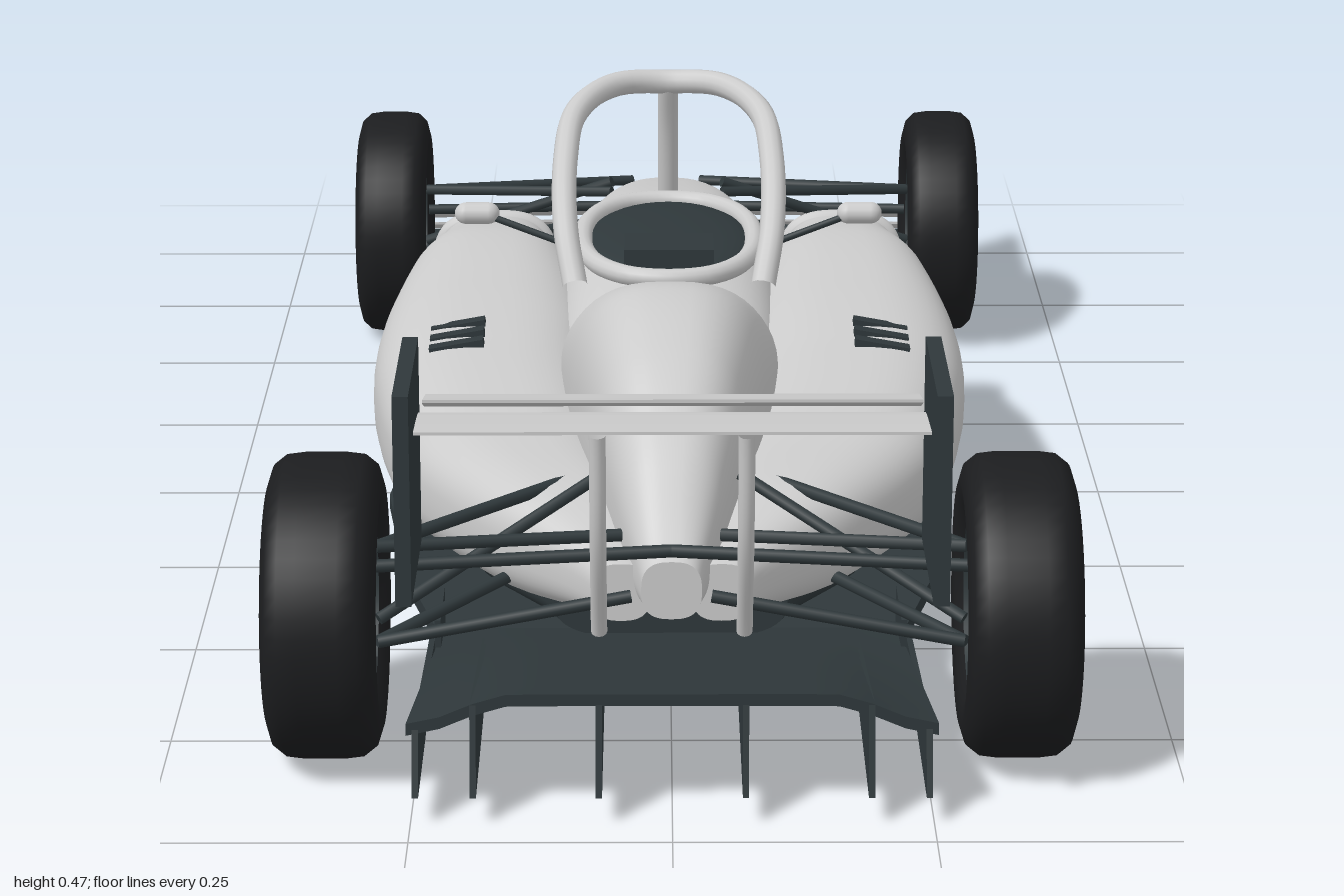
import * as THREE from 'three';

const mat = (color, side = THREE.FrontSide) => new THREE.MeshStandardMaterial({ color, side });
const grey = mat(0xcccccc);
const greyThin = mat(0xcccccc, THREE.DoubleSide);
const carbon = mat(0x2f383b, THREE.DoubleSide);
const rubber = mat(0x1c1d1f);
const orange = mat(0xc8501e);
const V = (x, y, z) => new THREE.Vector3(x, y, z);

export function createModel() {
  const car = new THREE.Group();
  car.name = 'openWheelRacingCar';

  const add = (name, geo, material, x = 0, y = 0, z = 0, parent = car) => {
    const m = new THREE.Mesh(geo, material);
    m.name = name;
    m.position.set(x, y, z);
    parent.add(m);
    return m;
  };
  const box = (name, w, h, d, material, x, y, z, parent) =>
    add(name, new THREE.BoxGeometry(w, h, d), material, x, y, z, parent);
  const rod = (name, a, b, r, material = carbon) => {
    const m = add(name, new THREE.CylinderGeometry(r, r, a.distanceTo(b), 10), material);
    m.position.copy(a).lerp(b, 0.5);
    m.quaternion.setFromUnitVectors(V(0, 1, 0), b.clone().sub(a).normalize());
    return m;
  };
  const tube = (name, pts, r, material, closed = false) =>
    add(name, new THREE.TubeGeometry(new THREE.CatmullRomCurve3(pts, closed), 64, r, 12, closed), material);

  // Point on a rounded-rectangle-like cross-section
  const superPoint = (t, w, h, p) => {
    const c = Math.cos(t), s = Math.sin(t);
    return [w * Math.sign(c) * Math.abs(c) ** (2 / p), h * Math.sign(s) * Math.abs(s) ** (2 / p)];
  };

  // Smooth body through rows of [z, halfWidth, bottom, top, centreX]
  const loft = (name, rows, material, p = 2.6, side = 1) => {
    const N = 48, SUB = 8, pos = [], idx = [], rings = [];
    const at = i => rows[Math.max(0, Math.min(rows.length - 1, i))];
    for (let i = 0; i < rows.length - 1; i++) {
      for (let k = 0; k < SUB + (i === rows.length - 2 ? 1 : 0); k++) {
        const t = k / SUB;
        rings.push(rows[i].map((b, q) => {
          const a = at(i - 1)[q], c = at(i + 1)[q], d = at(i + 2)[q];
          if (q === 0) return b + (c - b) * t;
          return 0.5 * (2 * b + (c - a) * t + (2 * a - 5 * b + 4 * c - d) * t * t + (3 * b - a - 3 * c + d) * t ** 3);
        }));
      }
    }
    const pushRing = ([z, w, y0, y1, cx = 0]) => {
      for (let j = 0; j < N; j++) {
        const [x, y] = superPoint(j / N * Math.PI * 2, w, (y1 - y0) / 2, p);
        pos.push(cx * side + x, (y0 + y1) / 2 + y, z);
      }
    };
    rings.forEach((r, i) => {
      pushRing(r);
      if (!i) return;
      for (let j = 0; j < N; j++) {
        const a = (i - 1) * N + j, b = (i - 1) * N + (j + 1) % N;
        idx.push(a, b, a + N, b, b + N, a + N);
      }
    });
    [rings[0], rings[rings.length - 1]].forEach((r, e) => {
      const s = pos.length / 3;
      pushRing(r);
      pos.push((r[4] || 0) * side, (r[2] + r[3]) / 2, r[0]);
      for (let j = 0; j < N; j++) {
        const a = s + j, b = s + (j + 1) % N;
        e ? idx.push(s + N, a, b) : idx.push(s + N, b, a);
      }
    });
    const g = new THREE.BufferGeometry();
    g.setAttribute('position', new THREE.Float32BufferAttribute(pos, 3));
    g.setIndex(idx);
    g.computeVertexNormals();
    return add(name, g, material);
  };

  // Aerofoil spanning x; its leading edge is swept back by sweep * x²
  const wing = (name, span, chord, thick, rise, material, y, z, sweep = 0) => {
    const s = new THREE.Shape();
    s.moveTo(0, 0);
    s.bezierCurveTo(0, thick, chord * 0.5, thick + rise * 0.2, chord, rise + 0.003);
    s.lineTo(chord, rise);
    s.bezierCurveTo(chord * 0.5, rise * 0.1, 0, -thick * 0.6, 0, 0);
    const g = new THREE.ExtrudeGeometry(s, { depth: span, steps: 20, bevelEnabled: false, curveSegments: 10 });
    g.rotateY(-Math.PI / 2).translate(span / 2, 0, 0);
    const p = g.attributes.position;
    for (let i = 0; i < p.count; i++) p.setZ(i, p.getZ(i) + sweep * p.getX(i) ** 2);
    g.computeVertexNormals();
    return add(name, g, material, 0, y, z);
  };

  // Main body: nose and tub, then engine cover
  loft('noseAndTub', [
    [-0.945, 0.016, 0.085, 0.12], [-0.85, 0.032, 0.088, 0.148], [-0.7, 0.054, 0.1, 0.19], [-0.55, 0.075, 0.115, 0.23],
    [-0.4, 0.093, 0.125, 0.265], [-0.26, 0.105, 0.125, 0.292], [-0.1, 0.125, 0.09, 0.308], [0.06, 0.13, 0.08, 0.302],
    [0.2, 0.125, 0.08, 0.28], [0.45, 0.1, 0.09, 0.23], [0.65, 0.05, 0.12, 0.2]], grey, 2.8);
  loft('engineCover', [
    [0.165, 0.117, 0.1, 0.288], [0.25, 0.12, 0.1, 0.322], [0.35, 0.113, 0.1, 0.36], [0.45, 0.1, 0.1, 0.38],
    [0.58, 0.078, 0.11, 0.352], [0.68, 0.054, 0.12, 0.28], [0.765, 0.03, 0.135, 0.195]], grey, 2.7);

  // Cockpit opening, rim and headrest
  const opening = add('cockpitOpening', new THREE.SphereGeometry(1, 40, 16), carbon, 0, 0.299, -0.02);
  opening.scale.set(0.095, 0.018, 0.155);
  tube('cockpitRim', Array.from({ length: 16 }, (_, i) => {
    const [x, z] = superPoint(i / 8 * Math.PI, 0.098, 0.165, 2.3);
    return V(x, 0.304, z - 0.015);
  }), 0.011, grey, true);
  box('headrest', 0.1, 0.045, 0.07, carbon, 0, 0.307, 0.09);

  // Protective hoop over the cockpit
  const arc = [[0.105, 0.29, 0.13], [0.116, 0.345, 0.085], [0.117, 0.405, 0.01], [0.105, 0.44, -0.07], [0.06, 0.453, -0.145]];
  tube('cockpitHoop', [...arc.map(([x, y, z]) => V(-x, y, z)), V(0, 0.45, -0.17),
    ...arc.reverse().map(([x, y, z]) => V(x, y, z))], 0.014, grey);
  tube('hoopPillar', [V(0, 0.45, -0.17), V(0, 0.39, -0.195), V(0, 0.28, -0.225)], 0.012, grey);
  box('noseSensor', 0.006, 0.004, 0.045, carbon, 0, 0.168, -0.967);

  for (const s of [-1, 1]) {
    // Sidepods with framed inlets and cooling slats
    loft('sidepod', [
      [-0.24, 0.068, 0.14, 0.268, 0.207], [-0.1, 0.1, 0.1, 0.288, 0.205], [0.1, 0.124, 0.085, 0.278, 0.204],
      [0.25, 0.123, 0.085, 0.26, 0.198], [0.45, 0.112, 0.095, 0.235, 0.165], [0.6, 0.085, 0.1, 0.218, 0.105],
      [0.73, 0.03, 0.12, 0.18, 0.05]], grey, 2.7, s);
    const ring = Array.from({ length: 24 }, (_, i) => superPoint(i / 12 * Math.PI, 0.065, 0.06, 3));
    tube('inletFrame', ring.map(([x, y]) => V(s * 0.207 + x, 0.204 + y, -0.242)), 0.01, grey, true);
    add('inletOpening', new THREE.ShapeGeometry(new THREE.Shape(ring.map(([x, y]) => new THREE.Vector2(x, y)))),
      carbon, s * 0.207, 0.204, -0.2425);
    for (let i = 0; i < 3; i++) {
      box('coolingSlat', 0.06, 0.012, 0.017, carbon, s * 0.232, 0.262 - i * 0.003, 0.198 + i * 0.027).rotation.z = -s * 0.18;
    }
    // Mirror
    const mirror = add('mirror', new THREE.CapsuleGeometry(0.013, 0.026, 6, 12), grey, s * 0.222, 0.314, -0.085);
    mirror.rotation.z = Math.PI / 2;
    rod('mirrorStalk', V(s * 0.13, 0.285, -0.07), V(s * 0.21, 0.312, -0.083), 0.004);

    // Front and rear suspension arms
    const arms = [
      [0.31, 0.185, -0.66, 0.045, 0.165, -0.78], [0.31, 0.185, -0.66, 0.07, 0.215, -0.54],
      [0.31, 0.105, -0.66, 0.04, 0.12, -0.77], [0.31, 0.105, -0.66, 0.08, 0.14, -0.5],
      [0.31, 0.12, -0.65, 0.07, 0.22, -0.57], [0.31, 0.15, -0.69, 0.05, 0.15, -0.71],
      [0.29, 0.21, 0.76, 0.05, 0.2, 0.7], [0.29, 0.21, 0.76, 0.1, 0.215, 0.57],
      [0.29, 0.11, 0.76, 0.04, 0.15, 0.74], [0.29, 0.11, 0.76, 0.12, 0.13, 0.56],
      [0.29, 0.13, 0.75, 0.07, 0.24, 0.63], [0.3, 0.2, 0.79, 0, 0.205, 0.76]];
    for (const a of arms) rod('suspensionArm', V(s * a[0], a[1], a[2]), V(s * a[3], a[4], a[5]), 0.0065);

    // Rear wing end plates and pillars, front wing end plates
    box('rearEndPlate', 0.015, 0.205, 0.185, carbon, s * 0.25, 0.34, 0.9075);
    tube('rearWingPillar', [V(s * 0.071, 0.365, 0.88), V(s * 0.071, 0.25, 0.86), V(s * 0.071, 0.14, 0.81)], 0.008, grey);
    box('frontEndPlate', 0.014, 0.138, 0.185, carbon, s * 0.388, 0.096, -0.8925);
    // Small floor fins
    box('floorFin', 0.006, 0.035, 0.1, carbon, s * 0.255, 0.065, -0.3);
    box('rearFloorFin', 0.006, 0.04, 0.1, carbon, s * 0.237, 0.07, 0.6);

    wheel(s, 0.34, 0.765, 0.151, 0.112);
    wheel(s, 0.352, -0.663, 0.142, 0.09);
  }

  // Wings
  wing('rearMainPlane', 0.49, 0.11, 0.012, 0.018, greyThin, 0.364, 0.82);
  wing('rearFlap', 0.46, 0.08, 0.01, 0.022, greyThin, 0.412, 0.912);
  wing('frontMainPlane', 0.77, 0.12, 0.01, 0.02, carbon, 0.04, -0.995, 0.23);
  wing('frontFlap', 0.7, 0.075, 0.008, 0.022, greyThin, 0.07, -0.915, 0.18);
  wing('frontUpperFlap', 0.62, 0.06, 0.007, 0.022, greyThin, 0.098, -0.862, 0.15);

  // Floor, plank and diffuser
  const half = [[0.23, -0.43], [0.25, -0.22], [0.3, -0.02], [0.315, 0.15], [0.28, 0.42], [0.235, 0.6]];
  const outline = [...half, ...half.map(([x, z]) => [-x, z]).reverse()].map(([x, z]) => new THREE.Vector2(x, z));
  const floor = new THREE.ExtrudeGeometry(new THREE.Shape(outline), { depth: 0.016, bevelEnabled: false });
  add('floor', floor.rotateX(Math.PI / 2), carbon, 0, 0.05, 0);
  loft('underbody', [[-0.3, 0.075, 0.045, 0.14], [-0.12, 0.2, 0.045, 0.12], [0.2, 0.25, 0.045, 0.11],
    [0.45, 0.2, 0.045, 0.12], [0.6, 0.12, 0.05, 0.14]], carbon, 3);
  const roof = new THREE.BoxGeometry(0.47, 0.012, 0.37, 16, 1, 10);
  const rp = roof.attributes.position;
  for (let i = 0; i < rp.count; i++) {
    const t = (rp.getZ(i) + 0.185) / 0.37, x = Math.abs(rp.getX(i));
    rp.setY(i, rp.getY(i) + t * (0.075 - 0.03 * THREE.MathUtils.smoothstep(x, 0.14, 0.235)));
    rp.setX(i, rp.getX(i) * (1 + 0.08 * t));
  }
  roof.computeVertexNormals();
  add('diffuserRoof', roof, carbon, 0, 0.045, 0.755);
  for (const x of [-0.245, -0.19, -0.07, 0.07, 0.19, 0.245]) {
    const fin = new THREE.Shape([[0.57, 0.035], [0.96, 0.028], [0.94, Math.abs(x) > 0.2 ? 0.09 : 0.115], [0.57, 0.05]]
      .map(([z, y]) => new THREE.Vector2(z, y)));
    const g = new THREE.ExtrudeGeometry(fin, { depth: 0.006, bevelEnabled: false });
    add('diffuserFin', g.rotateY(-Math.PI / 2), carbon, x + 0.003);
  }

  // Wheel whose axle is local y, with the outer face at +y
  function wheel(s, x, z, R, w) {
    const g = new THREE.Group();
    g.name = z > 0 ? 'rearWheel' : 'frontWheel';
    g.position.set(s * x, R, z);
    g.rotation.z = -s * Math.PI / 2;
    car.add(g);
    const h = w / 2, r = R * 0.6;
    const side = [[r, h * 0.8], [r + 0.01, h * 0.95], [R * 0.8, h], [R * 0.92, h * 0.9], [R * 0.985, h * 0.68], [R, h * 0.35]];
    const profile = [...side.map(([a, b]) => [a, -b]), ...side.reverse(), [r, -h * 0.8]];
    add('tyre', new THREE.LatheGeometry(profile.map(([a, b]) => new THREE.Vector2(a, b)), 48), rubber, 0, 0, 0, g);
    add('rimBarrel', new THREE.CylinderGeometry(r * 0.99, r * 0.99, w * 0.82, 40, 1, true), carbon, 0, 0, 0, g);
    add('brakeDisc', new THREE.CylinderGeometry(r * 0.85, r * 0.85, 0.01, 32), carbon, 0, 0, 0, g);
    add('hub', new THREE.CylinderGeometry(0.017, 0.02, w * 0.75, 20), carbon, 0, 0, 0, g);
    add('rimLip', new THREE.TorusGeometry(r * 0.96, 0.004, 8, 40).rotateX(Math.PI / 2), grey, 0, h * 0.75, 0, g);
    for (let i = 0; i < 10; i++) {
      const a = i / 10 * Math.PI * 2, d = r * 0.56;
      box('spoke', r * 0.82, 0.008, 0.008, grey, Math.cos(a) * d, h * 0.68, Math.sin(a) * d, g).rotation.y = -a;
    }
    const caliper = add('brakeCaliper', new THREE.TorusGeometry(r * 0.62, 0.014, 8, 16, 1.3).rotateX(Math.PI / 2),
      orange, 0, h * 0.2, 0, g);
    caliper.rotation.y = Math.PI / 2 - 0.65 + 0;
  }

  return car;
}
